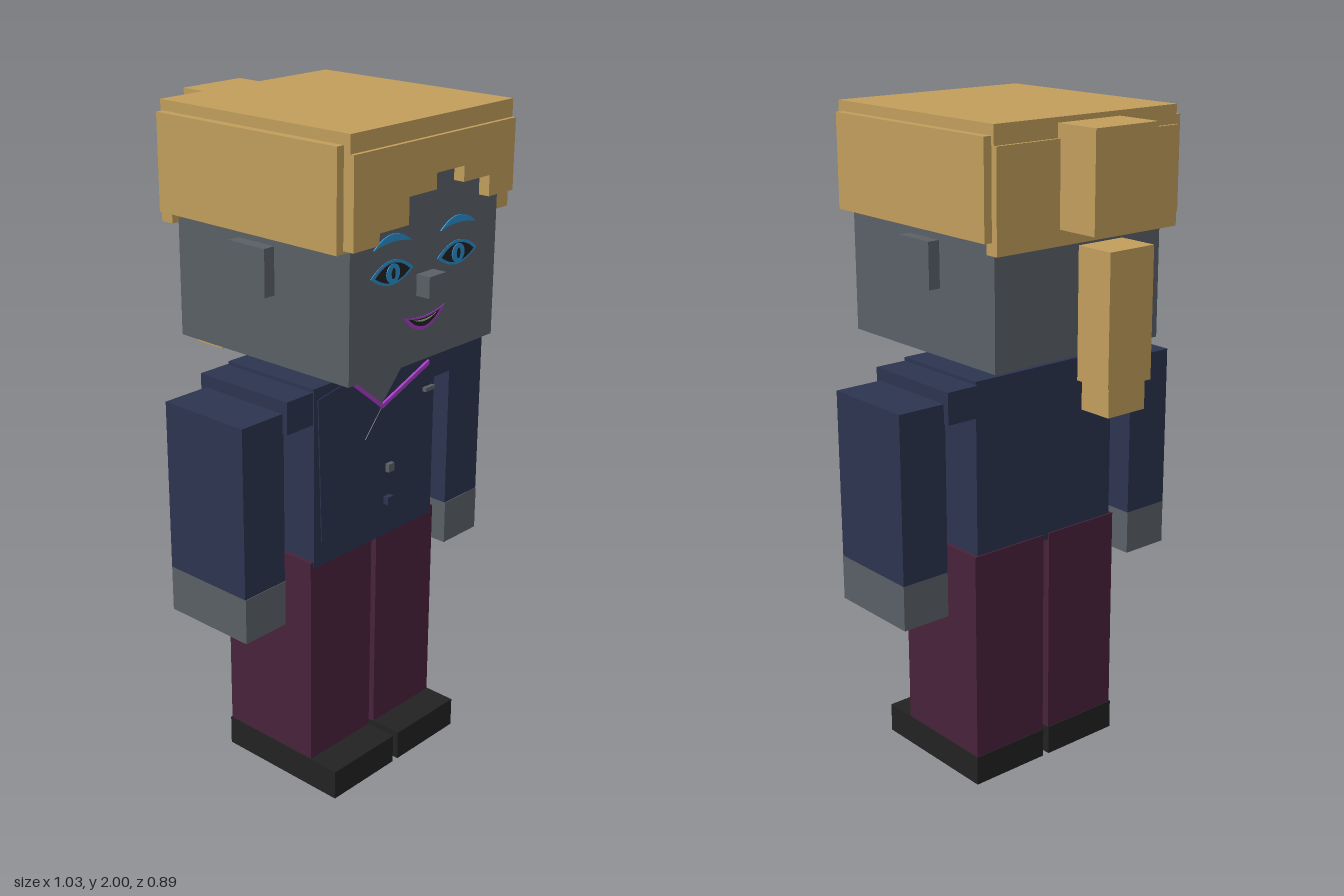
import * as THREE from 'three';

const material = (name, color) => {
  const m = new THREE.MeshStandardMaterial({ color });
  m.name = name;
  return m;
};

export function createModel() {
  const model = new THREE.Group();
  model.name = 'figure';
  const skin = material('grey skin', 0x5a6066);
  const hair = material('golden hair', 0xc19e5c);
  const navy = material('navy jacket', 0x2c3450);
  const plum = material('plum trousers', 0x48223b);
  const black = material('black', 0x222222);
  const blue = material('blue makeup', 0x2a8dcc);
  const purple = material('purple trim', 0xa63cc6);
  const pale = material('pale teeth', 0x9fae98);

  const add = (name, geometry, mat) => {
    const mesh = new THREE.Mesh(geometry, mat);
    mesh.name = name;
    model.add(mesh);
    return mesh;
  };
  // Box given by its limits on each axis
  const box = (name, mat, [x0, x1], [y0, y1], [z0, z1]) => {
    const g = new THREE.BoxGeometry(x1 - x0, y1 - y0, z1 - z0);
    g.translate((x0 + x1) / 2, (y0 + y1) / 2, (z0 + z1) / 2);
    return add(name, g, mat);
  };
  // Front-facing plate cut from a shape
  const plate = (name, mat, shape, z, depth = 0.004) => {
    const g = new THREE.ExtrudeGeometry(shape, { depth, bevelEnabled: false, curveSegments: 12 });
    g.translate(0, 0, z);
    return add(name, g, mat);
  };
  const polygon = (pts) => new THREE.Shape(pts.map(([x, y]) => new THREE.Vector2(x, y)));
  // Shape with two pointed ends and curved upper and lower edges
  const lens = (x, y, half, up, down) => {
    const s = new THREE.Shape();
    s.moveTo(x - half, y);
    s.quadraticCurveTo(x, y + down * 2, x + half, y);
    s.quadraticCurveTo(x, y + up * 2, x - half, y);
    return s;
  };
  const disc = (x, y, r) => new THREE.Shape().absarc(x, y, r, 0, Math.PI * 2);

  // Head and neck
  box('head', skin, [-0.305, 0.305], [1.33, 1.955], [-0.24, 0.4]);
  box('neck', skin, [-0.085, 0.08], [1.26, 1.335], [-0.025, 0.155]);
  box('nose', skin, [-0.037, 0.033], [1.52, 1.58], [0.4, 0.445]);

  // Body
  box('torso', navy, [-0.26, 0.26], [0.725, 1.27], [-0.1, 0.233]);

  // Paired parts
  for (const side of [-1, 1]) {
    const label = side > 0 ? 'left' : 'right';
    const pair = (name, mat, [a, b], y, z) =>
      box(label + name, mat, side > 0 ? [a, b] : [-b, -a], y, z);
    pair('Ear', skin, [0.305, 0.342], [1.525, 1.66], [-0.003, 0.132]);
    pair('Shoulder', navy, [0.255, 0.362], [1.165, 1.26], [-0.105, 0.23]);
    pair('Arm', navy, [0.358, 0.514], [0.717, 1.223], [-0.085, 0.213]);
    pair('Hand', skin, [0.358, 0.514], [0.58, 0.717], [-0.085, 0.215]);
    pair('Leg', plum, [0.011, 0.272], [0.09, 0.745], [-0.105, 0.232]);
    pair('Shoe', black, [0.011, 0.275], [0, 0.092], [-0.108, 0.332]);
    pair('HairPanel', hair, [0.303, 0.355], [1.695, 1.97], [-0.26, 0.4]);

    // Eye, layered from the rim to the highlight
    const ex = side > 0 ? 0.133 : -0.14;
    const ey = 1.605;
    plate(label + 'EyeRim', blue, lens(ex, ey, 0.086, 0.036, -0.032), 0.4, 0.002);
    plate(label + 'EyeDark', black, lens(ex, ey, 0.07, 0.028, -0.025), 0.401, 0.003);
    plate(label + 'Iris', blue, disc(ex, ey, 0.027), 0.401, 0.005);
    const pupil = plate(label + 'Pupil', black, disc(0, 0, 0.015), 0.401, 0.006);
    pupil.scale.x = 0.5;
    pupil.position.set(ex, ey, 0);
    plate(label + 'Brow', blue, lens(ex, 1.68, 0.076, 0.031, 0.01), 0.4);
  }

  // Mouth: curved lips around a dark opening
  plate('lips', purple, lens(-0.004, 1.47, 0.088, -0.014, -0.052), 0.4, 0.002);
  plate('mouth', black, lens(-0.004, 1.461, 0.066, -0.01, -0.032), 0.4, 0.004);
  plate('teeth', pale, lens(-0.004, 1.456, 0.05, -0.008, -0.013), 0.4, 0.005);

  // Hair cap with a stepped fringe
  box('hairTop', hair, [-0.33, 0.33], [1.945, 2], [-0.27, 0.422]);
  box('hairBack', hair, [-0.33, 0.33], [1.66, 1.945], [-0.28, -0.238]);
  plate('fringe', hair, polygon([
    [-0.33, 1.95], [-0.33, 1.703], [-0.23, 1.703], [-0.23, 1.735], [-0.115, 1.735],
    [-0.115, 1.809], [-0.005, 1.809], [-0.005, 1.853], [0.11, 1.853], [0.11, 1.809],
    [0.222, 1.809], [0.222, 1.75], [0.33, 1.75], [0.33, 1.95],
  ]), 0.399, 0.035);

  // Ponytail
  box('ponytailBase', hair, [-0.112, 0.112], [1.705, 1.985], [-0.415, -0.265]);
  box('ponytail', hair, [-0.08, 0.08], [1.29, 1.665], [-0.443, -0.32]);
  box('ponytailTip', hair, [-0.068, 0.068], [1.205, 1.29], [-0.433, -0.326]);

  // Jacket front, lapel, open neck and trim
  plate('jacketFront', navy, polygon([
    [-0.245, 1.235], [-0.23, 0.8], [0.02, 0.752], [0.23, 0.8],
    [0.225, 1.222], [0.02, 1.14], [-0.13, 1.255],
  ]), 0.232);
  plate('lapel', navy, polygon([
    [-0.05, 1.06], [0.165, 1.165], [0.225, 1.222], [0.02, 1.14],
  ]), 0.232, 0.007);
  plate('openNeck', skin, polygon([[-0.115, 1.262], [0.02, 1.148], [0.125, 1.262]]), 0.232, 0.005);
  plate('collarTrim', purple, polygon([
    [-0.13, 1.26], [0.02, 1.136], [0.227, 1.216], [0.227, 1.23], [0.022, 1.15], [-0.115, 1.26],
  ]), 0.232, 0.009);

  // Buttons and pin set out in front of the jacket
  box('upperButton', skin, [-0.004, 0.02], [0.958, 0.983], [0.276, 0.289]);
  box('lowerButton', navy, [-0.004, 0.02], [0.854, 0.878], [0.271, 0.287]);
  box('lapelPin', skin, [0.147, 0.188], [1.165, 1.177], [0.283, 0.295]);

  return model;
}
